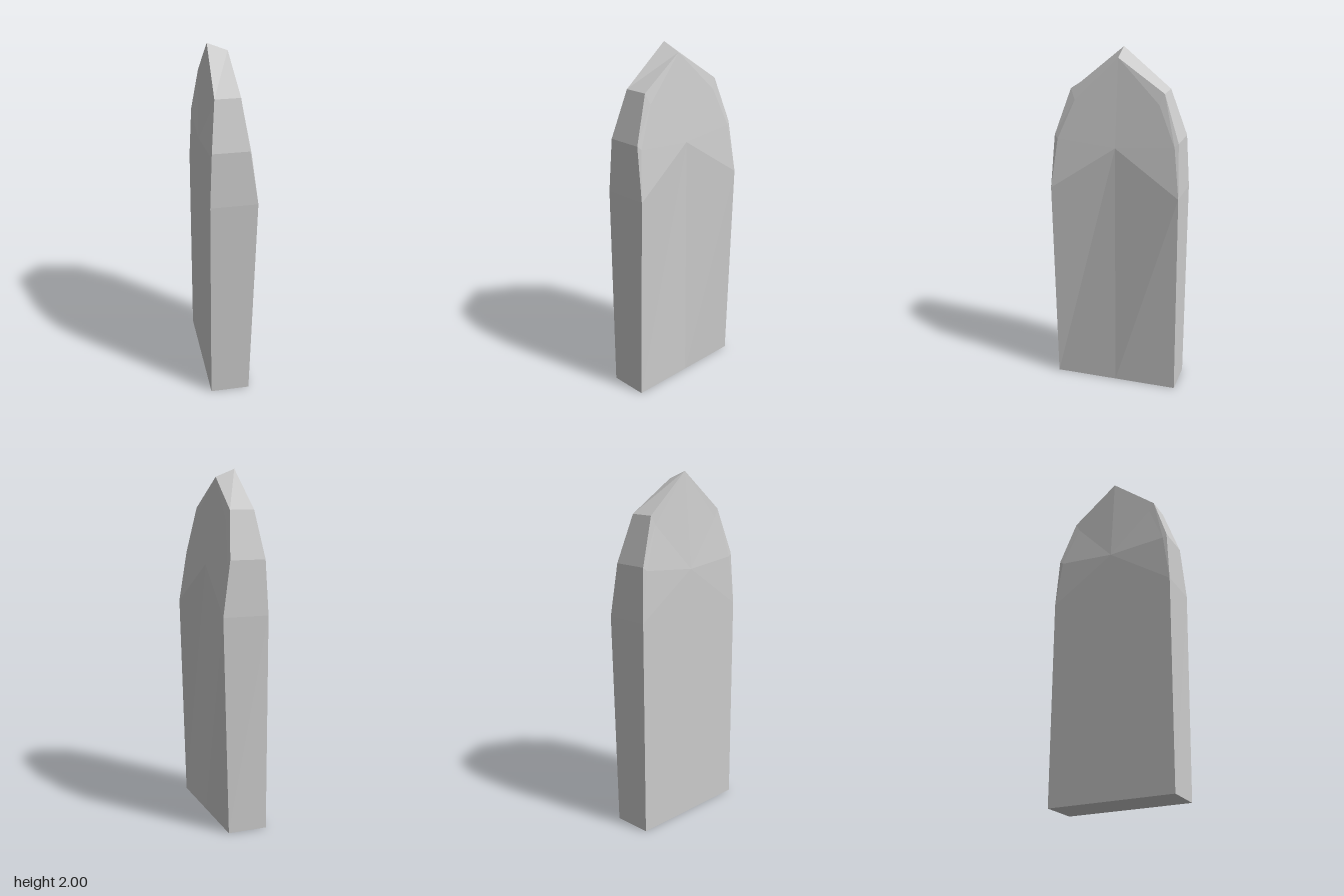
import * as THREE from 'three';

// Points of the +z half, listed from the base up to the peak: [x, y, z]
const broadSide = {
  rim: [[0.095, 0, 0.368], [0.13, 1.22, 0.37], [0.085, 1.52, 0.355], [0.052, 1.78, 0.265], [0.032, 1.955, 0]],
  inner: [[0.096, 1.5, 0.335], [0.066, 1.72, 0.24]],
  centre: [0.095, 1.47, 0],
  foot: [0.095, 0, 0],
};
const flatSide = {
  rim: [[-0.13, 0, 0.37], [-0.13, 1.22, 0.374], [-0.117, 1.52, 0.357], [-0.087, 1.78, 0.267], [-0.08, 2, 0]],
  inner: [[-0.122, 1.5, 0.335], [-0.093, 1.73, 0.24]],
  centre: [-0.13, 1.47, 0],
  foot: [-0.13, 0, 0],
};

// Face of one side: lower panel, folded upper panel, narrow bevel at the shoulder
function sideFaces({ rim: [base, corner, low, high, peak], inner: [i1, i2], centre, foot }) {
  return [
    [centre, corner, base, foot],
    [centre, peak, i2], [centre, i2, i1], [centre, i1, corner],
    [peak, high, i2], [i2, high, low, i1], [i1, low, corner],
  ];
}

// Flat-shaded mesh from convex polygons, mirrored across z = 0
function mirroredMesh(name, polygons, material) {
  const positions = [];
  for (const polygon of polygons) {
    const mirrored = polygon.map(([x, y, z]) => [x, y, -z]).reverse();
    for (const p of [polygon, mirrored]) {
      for (let i = 1; i < p.length - 1; i++) positions.push(...p[0], ...p[i], ...p[i + 1]);
    }
  }
  const geometry = new THREE.BufferGeometry();
  geometry.setAttribute('position', new THREE.Float32BufferAttribute(positions, 3));
  geometry.computeVertexNormals();
  const mesh = new THREE.Mesh(geometry, material);
  mesh.name = name;
  return mesh;
}

export function createModel() {
  const group = new THREE.Group();
  group.name = 'standingStone';
  const material = new THREE.MeshStandardMaterial({ color: 0xcccccc, flatShading: true });
  const a = broadSide.rim, b = flatSide.rim;

  // Two large faces; the second winds the other way
  group.add(mirroredMesh('foldedFace', sideFaces(broadSide), material));
  group.add(mirroredMesh('flatFace', sideFaces(flatSide).map((p) => p.reverse()), material));

  // Edge band from the base over the pointed top
  const band = [];
  for (let i = 0; i < a.length - 1; i++) band.push([b[i], a[i], a[i + 1], b[i + 1]]);
  group.add(mirroredMesh('edgeBand', band, material));

  // Underside
  group.add(mirroredMesh('base', [[a[0], b[0], flatSide.foot, broadSide.foot]], material));
  return group;
}
